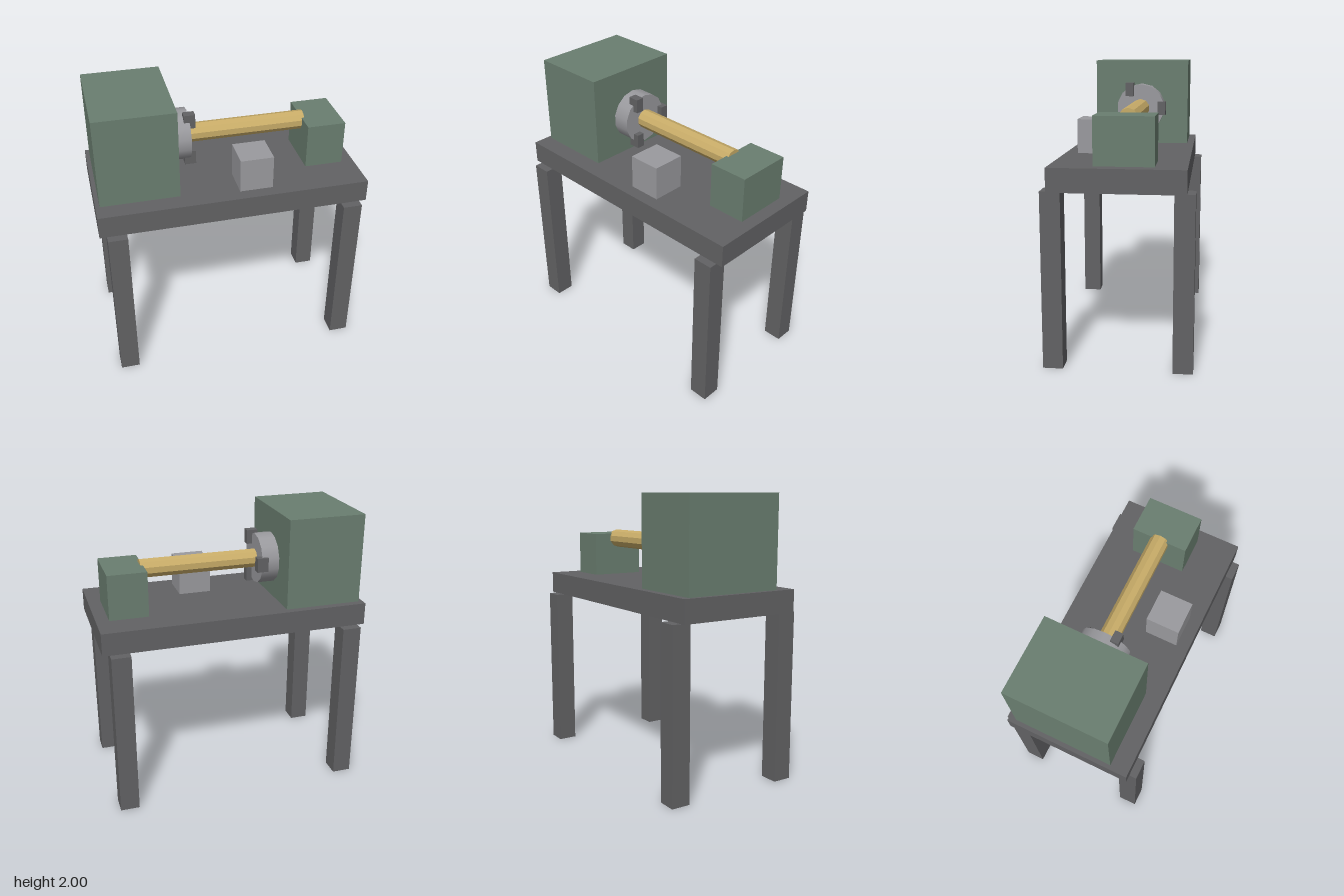
import * as THREE from 'three';

const material = (name, color) => {
  const m = new THREE.MeshStandardMaterial({ color });
  m.name = name;
  return m;
};

export function createModel() {
  const model = new THREE.Group();
  model.name = 'lathe';

  const darkSteel = material('dark steel', 0x626264);
  const green = material('machine green', 0x6a7e70);
  const lightSteel = material('light steel', 0x9a9a9e);
  const brass = material('brass', 0xc8ac68);
  brass.flatShading = true;

  const add = (name, geometry, mat, x, y, z) => {
    const mesh = new THREE.Mesh(geometry, mat);
    mesh.name = name;
    mesh.position.set(x, y, z);
    model.add(mesh);
  };
  // Box given by its extents on each axis
  const box = (name, mat, [x0, x1], [y0, y1], [z0, z1]) =>
    add(name, new THREE.BoxGeometry(x1 - x0, y1 - y0, z1 - z0), mat,
      (x0 + x1) / 2, (y0 + y1) / 2, (z0 + z1) / 2);
  // Cylinder along x with a corner pointing up
  const rod = (name, mat, radius, sides, x0, x1, y, z) =>
    add(name, new THREE.CylinderGeometry(radius, radius, x1 - x0, sides, 1, false, Math.PI / 2)
      .rotateZ(Math.PI / 2), mat, (x0 + x1) / 2, y, z);

  // Stand: bed on four legs that stick out at front and back
  box('bed', darkSteel, [-0.947, 0.947], [1.203, 1.362], [-0.447, 0.447]);
  for (const sx of [-1, 1])
    for (const sz of [-1, 1])
      add('leg', new THREE.BoxGeometry(0.135, 1.2, 0.135), darkSteel, sx * 0.83, 0.6, sz * 0.432);

  // Housings and tool post
  box('headstock', green, [-0.918, -0.367], [1.362, 2], [-0.395, 0.317]);
  box('tailstock', green, [0.582, 0.857], [1.362, 1.682], [-0.238, 0.158]);
  box('toolPost', lightSteel, [0.042, 0.276], [1.362, 1.603], [0.122, 0.358]);

  // Chuck and workpiece on the spindle axis
  const axisY = 1.645, axisZ = -0.04;
  rod('chuck', lightSteel, 0.18, 14, -0.37, -0.243, axisY, axisZ);
  rod('workpiece', brass, 0.068, 10, -0.26, 0.6, axisY, axisZ);

  // Three upright jaws spaced around the chuck face
  for (let i = 0; i < 3; i++) {
    const a = Math.PI / 3 + i * Math.PI * 2 / 3;
    add('jaw', new THREE.BoxGeometry(0.079, 0.1, 0.059), darkSteel,
      -0.243, axisY + 0.162 * Math.sin(a), axisZ + 0.162 * Math.cos(a));
  }
  return model;
}
